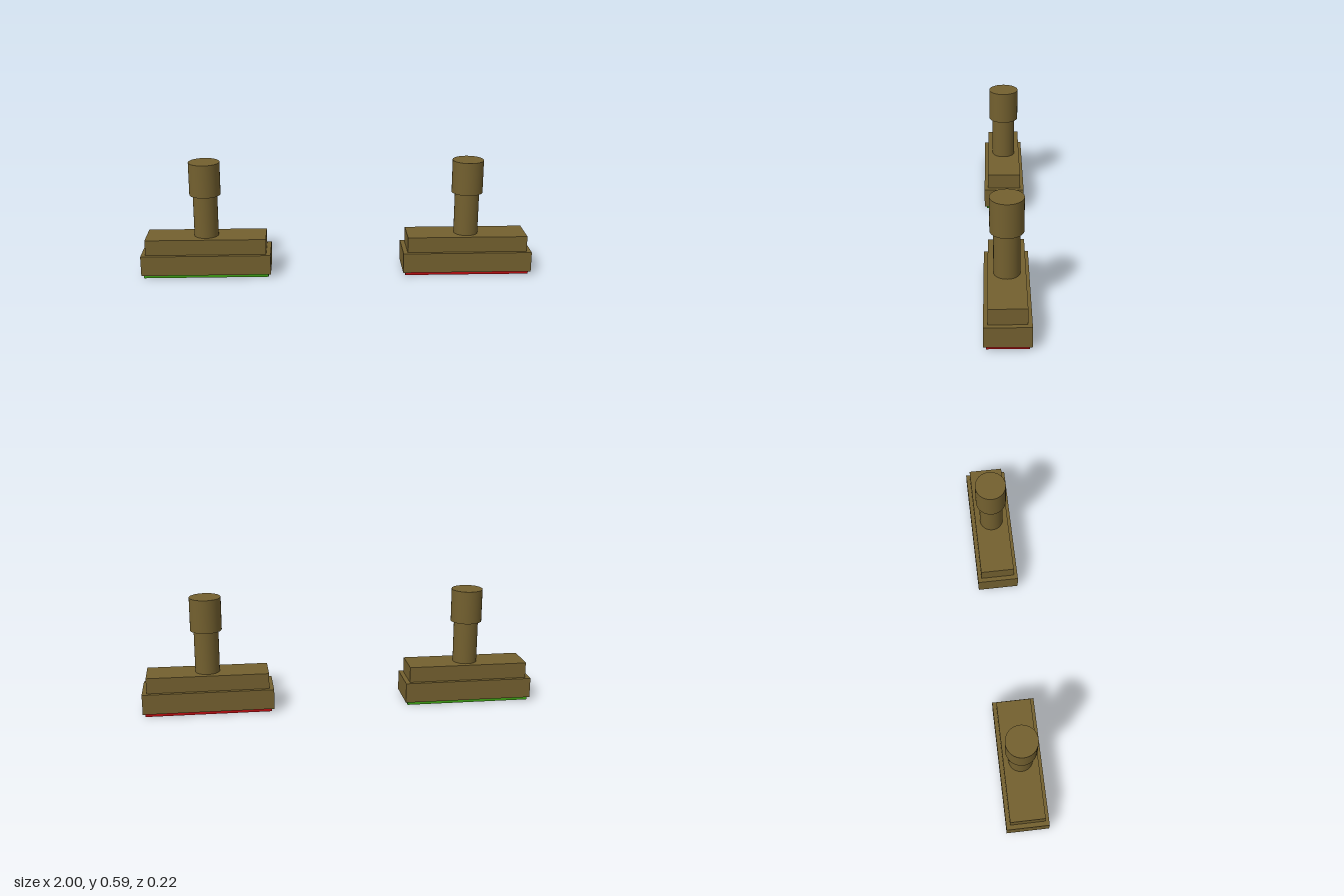
import * as THREE from 'three';

const wood = new THREE.MeshStandardMaterial({ color: 0x73602f });
const red = new THREE.MeshStandardMaterial({ color: 0xb80c10 });
const green = new THREE.MeshStandardMaterial({ color: 0x3c9c14 });

// Adds a mesh spanning heights y0 to y1
function addPart(group, name, geometry, material, y0, y1) {
  const mesh = new THREE.Mesh(geometry, material);
  mesh.name = name;
  mesh.position.y = (y0 + y1) / 2;
  group.add(mesh);
}

function addSlab(group, name, width, depth, y0, y1, material) {
  addPart(group, name, new THREE.BoxGeometry(width, y1 - y0, depth), material, y0, y1);
}

function addRod(group, name, radius, y0, y1) {
  addPart(group, name, new THREE.CylinderGeometry(radius, radius, y1 - y0, 48), wood, y0, y1);
}

// One hand stamp: ink pad, stepped block, post and knob
function createStamp(name, padMaterial) {
  const stamp = new THREE.Group();
  stamp.name = name;
  addSlab(stamp, 'inkPad', 0.636, 0.192, 0, 0.017, padMaterial);
  addSlab(stamp, 'baseBlock', 0.66, 0.216, 0.017, 0.12, wood);
  addSlab(stamp, 'upperBlock', 0.614, 0.176, 0.12, 0.2, wood);
  addRod(stamp, 'handlePost', 0.062, 0.2, 0.418);
  addRod(stamp, 'handleKnob', 0.079, 0.418, 0.587);
  return stamp;
}

export function createModel() {
  const model = new THREE.Group();
  model.name = 'stampPair';
  const left = createStamp('leftStamp', red);
  const right = createStamp('rightStamp', green);
  left.position.x = 0.67;
  right.position.x = -0.67;
  model.add(left, right);
  return model;
}
